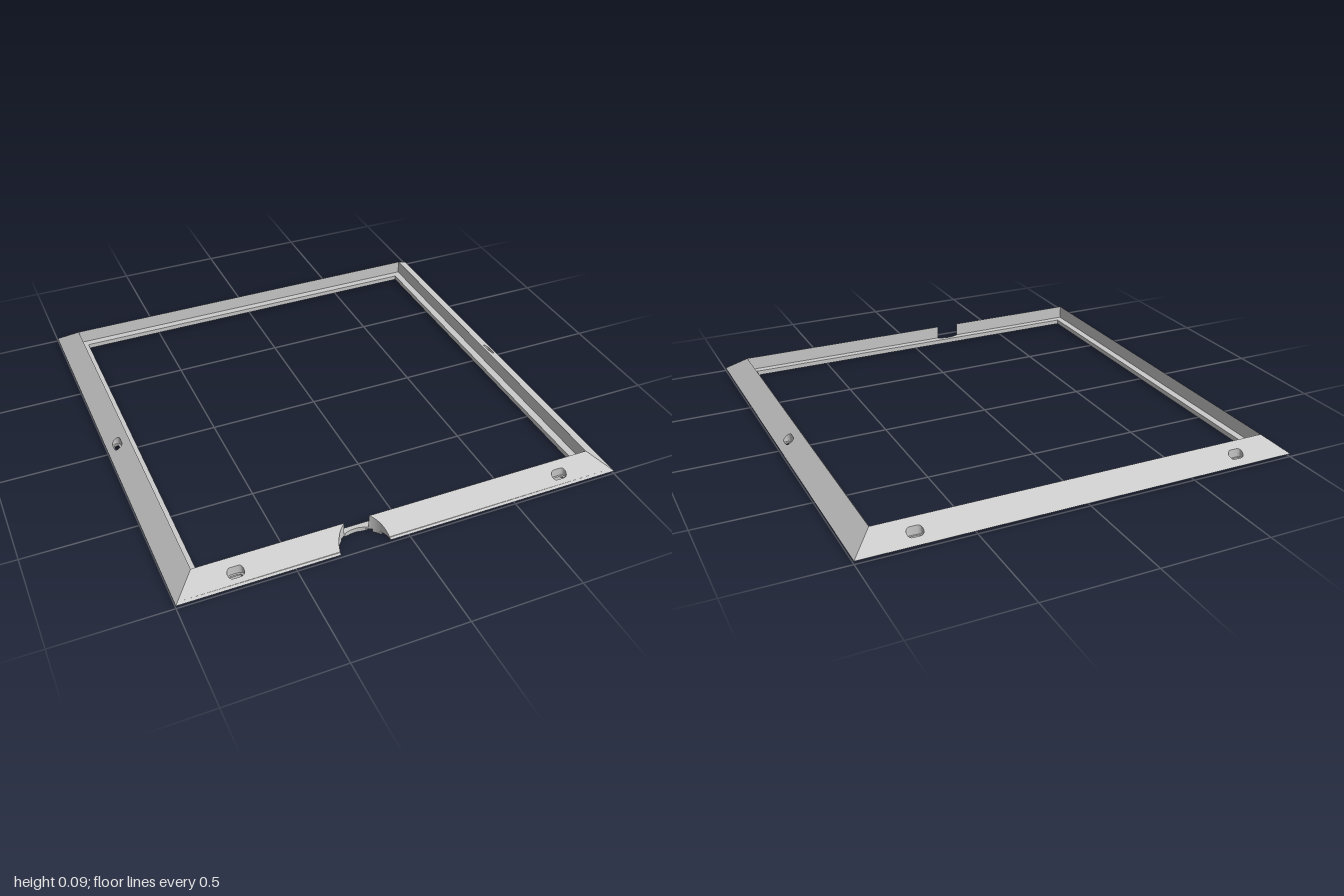
import * as THREE from 'three';
import { toCreasedNormals } from 'three/addons/utils/BufferGeometryUtils.js';

const INNER = 0.87, WALL = 0.905;         // lip edge and inner wall, from the centre
const BASE = 0.014, FLOOR = 0.022, TOP = 0.086;
const NOTCH_X = -0.2, NOTCH_R = 0.11;
const SLOPE = (TOP - BASE) / (1 - WALL);
const FLOOR_EDGE = 1 - (FLOOR - BASE) / SLOPE; // where the slope meets the slot floor

// One half of the notch outline between v = b (outside) and v = a (inside)
function notchArc(a, b, side) {
  const t0 = Math.asin((1 - b) / NOTCH_R);
  const t1 = Math.asin(Math.min(1, (1 - a) / NOTCH_R));
  const pts = [];
  for (let i = 0; i <= 16; i++) {
    const t = t0 + (t1 - t0) * i / 16;
    pts.push([NOTCH_X + side * NOTCH_R * Math.cos(t), 1 - NOTCH_R * Math.sin(t)]);
  }
  return pts;
}

// Plan outlines of a mitred strip from v = a to v = b
function stripOutlines(a, b, notched) {
  if (!notched) return [[[-b, b], [b, b], [a, a], [-a, a]]];
  const right = notchArc(a, b, 1), left = notchArc(a, b, -1);
  if (a < 1 - NOTCH_R) {
    return [[[b, b], ...right, ...left.reverse().slice(1), [-b, b], [-a, a], [a, a]]];
  }
  return [
    [[b, b], ...right, [a, a]],
    [[-b, b], ...left, [-a, a]],
  ];
}

// Rounded slot lying along the strip
function slotPath(u, v, length, width) {
  const r = width / 2, h = length / 2 - r;
  const p = new THREE.Path();
  p.absarc(u + h, -v, r, -Math.PI / 2, Math.PI / 2, false);
  p.absarc(u - h, -v, r, Math.PI / 2, Math.PI * 1.5, false);
  p.closePath();
  return p;
}

// Extrudes a strip upwards from y0 to y1; shapeTop may move its top vertices
function strip(name, { a, b, y0, y1, notched, slots = [], slotSize, shapeTop }, material) {
  const group = new THREE.Group();
  group.name = name;
  for (const outline of stripOutlines(a, b, notched)) {
    const shape = new THREE.Shape(outline.map(([u, v]) => new THREE.Vector2(u, -v)));
    const us = outline.map(p => p[0]);
    for (const u of slots) {
      if (u > Math.min(...us) && u < Math.max(...us)) {
        shape.holes.push(slotPath(u, 0.954, ...slotSize));
      }
    }
    let geo = new THREE.ExtrudeGeometry(shape, { depth: y1 - y0, bevelEnabled: false, curveSegments: 10 });
    geo.rotateX(-Math.PI / 2).translate(0, y0, 0);
    if (shapeTop) {
      const pos = geo.attributes.position, p = new THREE.Vector3();
      for (let i = 0; i < pos.count; i++) {
        p.fromBufferAttribute(pos, i);
        if (p.y > (y0 + y1) / 2) {
          shapeTop(p);
          pos.setXYZ(i, p.x, p.y, p.z);
        }
      }
      geo.computeVertexNormals();
    }
    geo = toCreasedNormals(geo, 0.5);
    const mesh = new THREE.Mesh(geo, material);
    mesh.name = name;
    group.add(mesh);
  }
  return group;
}

// One side of the frame, built facing +z
function frameSide(name, slots, notched, material) {
  const side = new THREE.Group();
  side.name = name;
  side.add(
    // Sloped bar with wide slots
    strip('slopedBar', {
      a: WALL, b: FLOOR_EDGE, y0: FLOOR, y1: TOP, notched, slots, slotSize: [0.07, 0.036],
      shapeTop: p => { p.y = BASE + (1 - p.z) * SLOPE; },
    }, material),
    // Bottom of the bar, with the narrow slots through the floor
    strip('barFloor', {
      a: WALL, b: 1, y0: BASE, y1: FLOOR, notched, slots, slotSize: [0.054, 0.021],
      shapeTop: p => {
        if (p.z > 0.9999) {
          if (Math.abs(p.x) > 0.9999) p.x *= FLOOR_EDGE;
          p.z = FLOOR_EDGE;
        }
      },
    }, material),
    // Inner ledge and the two ribs under the frame
    strip('innerLedge', { a: INNER, b: WALL, y0: BASE, y1: FLOOR, notched }, material),
    strip('innerRib', { a: INNER, b: 0.895, y0: 0, y1: BASE, notched }, material),
    strip('outerRib', { a: 0.915, b: 0.94, y0: 0, y1: BASE, notched }, material),
  );
  return side;
}

export function createModel() {
  const model = new THREE.Group();
  model.name = 'bevelledFrame';
  const material = new THREE.MeshStandardMaterial({ color: 0xcccccc });
  ['frontSide', 'leftSide', 'backSide', 'rightSide'].forEach((name, i) => {
    const side = frameSide(name, i % 2 ? [0] : [-0.74, 0.74], i === 0, material);
    side.rotation.y = i * Math.PI / 2;
    model.add(side);
  });
  return model;
}
